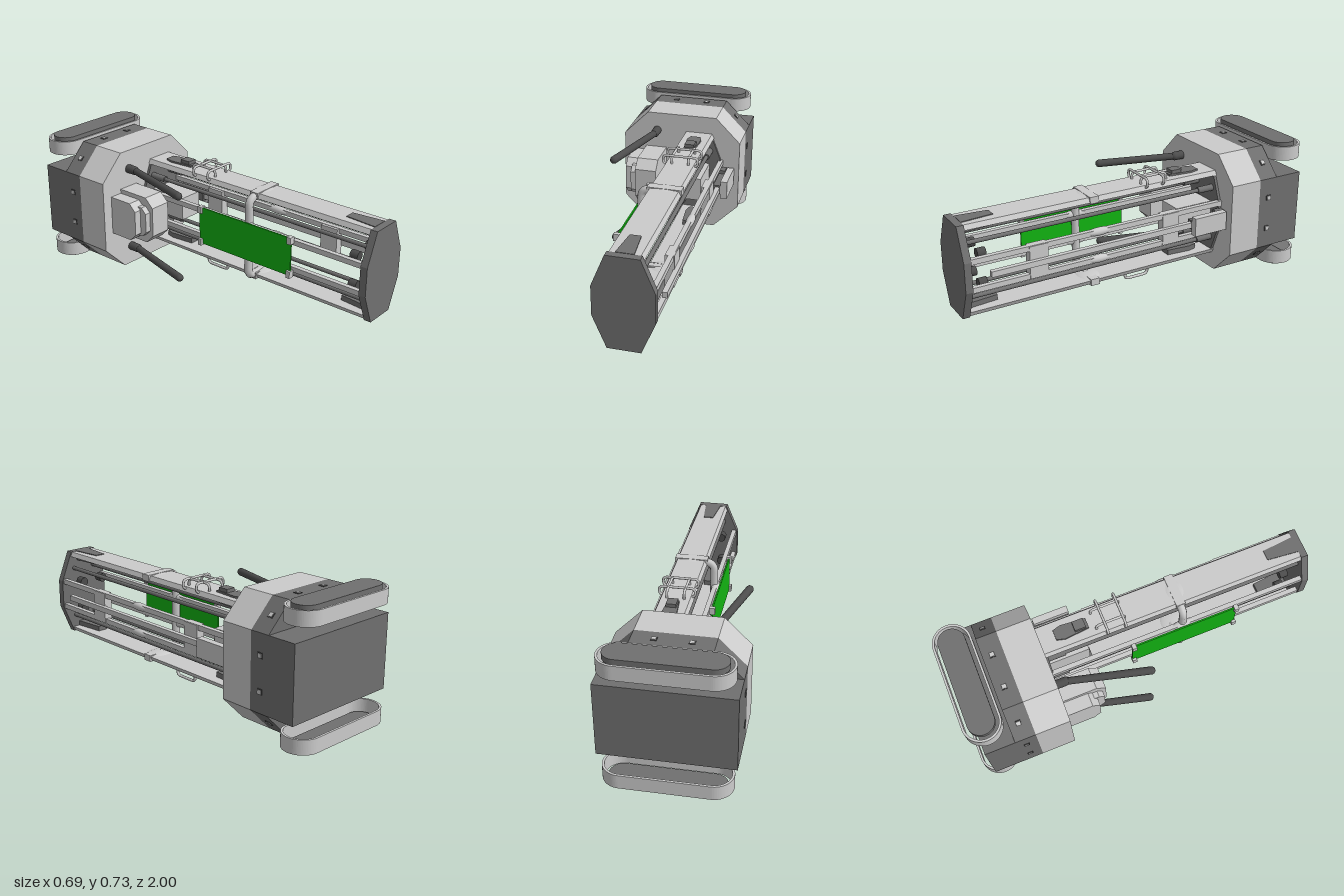
import * as THREE from 'three';

const paint = (c) => new THREE.MeshStandardMaterial({ color: c });
const light = paint(0xcccccc), dark = paint(0x707070), black = paint(0x4c4c4c), green = paint(0x12b412);
const CX = 0.1025, CY = 0.365; // axis of the arm and height of symmetry

export function createModel() {
  const root = new THREE.Group();

  const add = (name, geo, mat) => {
    const m = new THREE.Mesh(geo, mat);
    m.name = name;
    root.add(m);
    return m;
  };
  // box given by its limits on each axis
  const box = (name, mat, x0, x1, y0, y1, z0, z1) =>
    add(name, new THREE.BoxGeometry(x1 - x0, y1 - y0, z1 - z0)
      .translate((x0 + x1) / 2, (y0 + y1) / 2, (z0 + z1) / 2), mat);
  const toShape = (pts) => new THREE.Shape(pts.map(([x, y]) => new THREE.Vector2(x, y)));
  const extrude = (shape, depth) =>
    new THREE.ExtrudeGeometry(shape, { depth, bevelEnabled: false, curveSegments: 20 });
  // outline in x,y running from z0 to z1
  const prism = (name, mat, pts, z0, z1) =>
    add(name, extrude(toShape(pts), z1 - z0).translate(0, 0, z0), mat);
  // outline in x,z rising from y0 to y1
  const slab = (name, mat, shape, y0, y1) =>
    add(name, extrude(shape, y1 - y0).rotateX(-Math.PI / 2).translate(0, y0, 0), mat);
  const octagon = (cx, cy, w, h, topW, sideH) => [
    [cx - topW, cy - h], [cx + topW, cy - h], [cx + w, cy - sideH], [cx + w, cy + sideH],
    [cx + topW, cy + h], [cx - topW, cy + h], [cx - w, cy + sideH], [cx - w, cy - sideH]];
  const stadium = (half, r) => {
    const s = new THREE.Shape();
    s.absarc(half - r, 0, r, -Math.PI / 2, Math.PI / 2);
    s.absarc(-half + r, 0, r, Math.PI / 2, Math.PI * 1.5);
    s.closePath();
    return s;
  };
  // wire with rounded corners through the given points
  const wire = (name, mat, pts, r, bend, closed = false) => {
    const v = pts.map((p) => new THREE.Vector3(...p)), path = new THREE.CurvePath(), n = v.length;
    const corner = (i) => {
      const p = v[i], a = v[(i + n - 1) % n], b = v[(i + 1) % n];
      return [p.clone().add(a.clone().sub(p).setLength(bend)), p, p.clone().add(b.clone().sub(p).setLength(bend))];
    };
    let last = closed ? corner(0)[2] : v[0];
    for (let k = 1; k < (closed ? n + 1 : n - 1); k++) {
      const [a, p, b] = corner(k % n);
      path.add(new THREE.LineCurve3(last, a));
      path.add(new THREE.QuadraticBezierCurve3(a, p, b));
      last = b;
    }
    if (!closed) path.add(new THREE.LineCurve3(last, v[n - 1]));
    return add(name, new THREE.TubeGeometry(path, 60, r, 8, closed), mat);
  };
  const rod = (name, mat, a, b, r0, r1 = r0) => {
    const A = new THREE.Vector3(...a), d = new THREE.Vector3(...b).sub(A);
    const g = new THREE.CylinderGeometry(r1, r0, d.length(), 16);
    g.applyQuaternion(new THREE.Quaternion().setFromUnitVectors(new THREE.Vector3(0, 1, 0), d.clone().normalize()));
    return add(name, g.translate(...A.addScaledVector(d, 0.5).toArray()), mat);
  };

  // Body
  const hull = octagon(0, CY, 0.34, 0.34, 0.2, 0.2);
  prism('bodyFront', light, hull, -0.675, -0.49);
  prism('bodyRear', dark, hull, -0.785, -0.675);
  box('rearBox', dark, -0.34, 0.34, 0.165, 0.565, -0.945, -0.785);

  // Bolts round the rear band
  const boltSpots = [];
  for (let q = 0; q < 4; q++) {
    const t = q * Math.PI / 2;
    boltSpots.push([t, -0.09, 0.34], [t, 0.09, 0.34], [t + Math.PI / 4, 0, 0.382]);
  }
  for (const [t, along, out] of boltSpots) {
    const bolt = new THREE.Group();
    bolt.name = 'bolt';
    const rim = new THREE.Mesh(new THREE.BoxGeometry(0.03, 0.006, 0.03), black);
    const head = new THREE.Mesh(new THREE.BoxGeometry(0.02, 0.01, 0.02), light);
    rim.name = 'boltRim';
    head.name = 'boltHead';
    bolt.add(rim, head);
    bolt.rotation.z = t;
    bolt.position.set(along * Math.cos(t) - out * Math.sin(t), CY + along * Math.sin(t) + out * Math.cos(t), -0.735);
    root.add(bolt);
  }

  // Loop skids above and below the rear box
  for (const top of [true, false]) {
    const ring = stadium(0.322, 0.1);
    ring.holes.push(stadium(0.31, 0.088));
    const y = top ? 0.637 : 0.015;
    slab('skidLoop', light, ring, y, y + 0.078).position.z = -0.9;
    slab('skidPad', dark, stadium(0.292, 0.07), top ? 0.7 : 0, top ? 0.73 : 0.03).position.z = -0.9;
  }

  // Side unit next to the arm
  const unit = (name, x0, x1, h, z1, cut) => {
    const pts = [[0.49, -h], [-z1 + cut, -h], [-z1, -h + cut], [-z1, h - cut], [-z1 + cut, h], [0.49, h]];
    add(name, extrude(toShape(pts), x1 - x0).rotateY(Math.PI / 2).translate(x0, CY, 0), light);
  };
  unit('sideUnit', -0.21, -0.09, 0.132, -0.25, 0.05);
  unit('sideUnitStep', -0.243, -0.2, 0.084, -0.27, 0.03);
  unit('sideUnitEnd', -0.283, -0.21, 0.108, -0.31, 0.04);

  // Arm end plate and base
  prism('endPlate', dark, octagon(CX, CY, 0.152, 0.245, 0.083, 0.078), 0.962, 1);
  prism('armBase', dark, octagon(CX, CY, 0.14, 0.235, 0.075, 0.07), -0.5, -0.475);

  // Features repeated above and below the arm axis
  for (const s of [1, -1]) {
    const Y = (d) => CY + s * d;
    const span = (name, mat, x0, x1, a, b, z0, z1) =>
      box(name, mat, x0, x1, Math.min(Y(a), Y(b)), Math.max(Y(a), Y(b)), z0, z1);
    // wide rail with sloped sides
    const rail = [[CX - 0.088, Y(0.218)], [CX + 0.088, Y(0.218)], [CX + 0.075, Y(0.243)], [CX - 0.075, Y(0.243)]];
    prism('wideRail', light, s > 0 ? rail : rail.reverse(), -0.49, 0.962);
    // dark inserts set in the wide rail
    const cover = (name, pts, a, b) => slab(name, dark, toShape(pts.map(([x, z]) => [CX + x, -z])),
      Math.min(Y(a), Y(b)), Math.max(Y(a), Y(b)));
    cover('frontInsert', [[-0.045, 0.962], [0.045, 0.962], [0.028, 0.79], [-0.028, 0.79]], 0.19, 0.247);
    cover('rearInsert', [[-0.028, -0.225], [0.028, -0.225], [0.04, -0.36], [0.028, -0.405], [-0.028, -0.405], [-0.04, -0.36]], 0.19, 0.253);
    // clamp on the wide rail
    add('railClamp', new THREE.SphereGeometry(1, 20, 12).scale(0.09, 0.02, 0.07).translate(CX, Y(0.228), 0.265), light);
    box('clampBand', light, CX - 0.09, CX + 0.09, Y(0.23) - 0.018, Y(0.23) + 0.018, 0.24, 0.29);

    for (const e of [1, -1]) {
      const X = (d) => CX + e * d;
      // narrow side rail, its clamp, and guide rod
      box('sideRail', light, X(0.132) - 0.013, X(0.132) + 0.013, Y(0.075) - 0.014, Y(0.075) + 0.014, -0.49, 0.962);
      add('sideRailClamp', new THREE.SphereGeometry(1, 16, 10).scale(0.022, 0.022, 0.075).translate(X(0.132), Y(0.075), 0.265), light);
      rod('guideRod', dark, [X(0.068), Y(0.145), -0.39], [X(0.068), Y(0.145), 0.965], 0.011);
      rod('guideRodStop', black, [X(0.068), Y(0.08), 0.86], [X(0.068), Y(0.08), 0.905], 0.025);
      rod('guideRodSocket', dark, [X(0.068), Y(0.145), -0.48], [X(0.068), Y(0.145), -0.38], 0.018);
    }

    // antenna with a hinge knuckle
    rod('antennaMount', black, [-0.145, Y(0.235), -0.5], [-0.145, Y(0.235), -0.44], 0.024);
    add('antennaKnuckle', new THREE.SphereGeometry(0.024, 16, 12).translate(-0.145, Y(0.235), -0.44), black);
    rod('antenna', black, [-0.145, Y(0.235), -0.44], [-0.257, Y(0.235), -0.015], 0.019, 0.021);
    add('antennaTip', new THREE.SphereGeometry(0.021, 16, 12).translate(-0.257, Y(0.235), -0.015), black);

    // panel holders
    for (const z of [-0.03, 0.56]) {
      span('panelHolder', light, -0.078, -0.047, 0.075, 0.113, z - 0.012, z + 0.012);
    }
  }

  // Panel and the bent bracket around it
  box('panel', green, -0.064, -0.056, 0.26, 0.47, -0.04, 0.565);
  wire('sideBracket', light, [[CX, 0.59, 0.265], [-0.022, 0.59, 0.265], [-0.022, 0.14, 0.265], [CX, 0.14, 0.265]], 0.022, 0.05);

  // Carriage on the open side: slide bar, blocks and end unit
  box('slideBar', light, 0.247, 0.273, 0.35, 0.38, -0.28, 0.87);
  for (const [z0, z1] of [[0.56, 0.66], [-0.21, -0.11]]) {
    box('slideBlock', light, 0.205, 0.252, 0.28, 0.452, z0, z1);
  }
  box('innerBlock', light, 0.03, 0.17, 0.3, 0.43, -0.49, -0.25);
  box('endUnitNeck', dark, 0.235, 0.278, 0.34, 0.39, -0.46, -0.28);
  box('endUnit', light, 0.277, 0.315, 0.315, 0.417, -0.475, -0.275);
  box('endUnitFoot', dark, 0.235, 0.27, 0.32, 0.41, -0.49, -0.44);

  // Wire handles: pairs along the arm, plus cross loops on top
  for (const x of [0.058, 0.148]) {
    wire('topHandle', light, [[x, 0.6, -0.035], [x, 0.645, -0.035], [x, 0.645, -0.19], [x, 0.6, -0.19]], 0.007, 0.025);
    wire('bottomHandle', light, [[x, 0.13, 0.06], [x, 0.082, 0.06], [x, 0.082, -0.08], [x, 0.13, -0.08]], 0.008, 0.025);
  }
  for (const z of [-0.045, -0.145]) {
    wire('crossLoop', light, [[0.008, 0.598, z], [0.197, 0.598, z], [0.197, 0.647, z], [0.008, 0.647, z]], 0.007, 0.023, true);
  }
  box('handleBlock', dark, 0.077, 0.13, 0.6, 0.637, -0.3, -0.24);

  return root;
}
